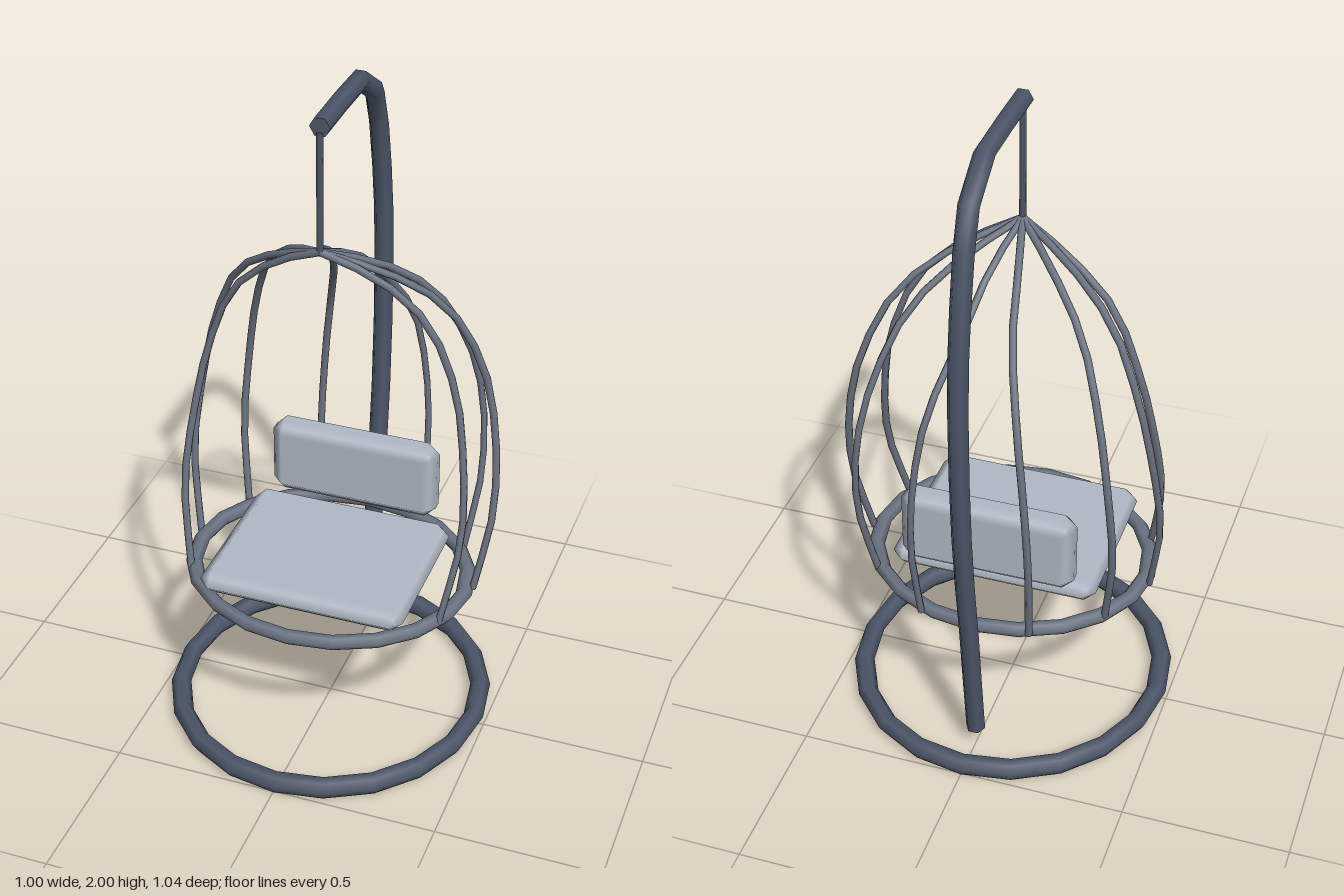
import * as THREE from 'three';

const frameMat = new THREE.MeshStandardMaterial({ color: 0x4d576a });
const wireMat = new THREE.MeshStandardMaterial({ color: 0x6c7483 });
const cushionMat = new THREE.MeshStandardMaterial({ color: 0xb0b8c4 });
const v = (x, y, z) => new THREE.Vector3(x, y, z);

// Straight-segment path whose tube rings fall exactly on the given points
class Polyline extends THREE.Curve {
  constructor(points) { super(); this.points = points; }
  getPoint(t, target = new THREE.Vector3()) {
    const s = Math.min(Math.max(t, 0), 1) * (this.points.length - 1);
    const i = Math.min(Math.floor(s), this.points.length - 2);
    return target.lerpVectors(this.points[i], this.points[i + 1], s - i);
  }
  getPointAt(u, target) { return this.getPoint(u, target); }
  getTangentAt(u, target) { return this.getTangent(u, target); }
}

function add(parent, name, geometry, material) {
  const mesh = new THREE.Mesh(geometry, material);
  mesh.name = name;
  parent.add(mesh);
  return mesh;
}

// Horizontal elliptical hoop with a six-sided section
function hoop(parent, name, rx, rz, tube, y, material) {
  const geo = new THREE.TorusGeometry(rz, tube, 6, 20).rotateX(Math.PI / 2);
  geo.scale(rx / rz, 1, 1);
  add(parent, name, geo, material).position.y = y;
}

// Box with softly shaded chamfers on every edge and corner
function chamferBox(w, h, d, r) {
  const geo = new THREE.BoxGeometry(1, 1, 1, 3, 3, 3);
  const pos = geo.attributes.position, nor = geo.attributes.normal;
  for (let i = 0; i < pos.count; i++) {
    const p = [pos.getX(i), pos.getY(i), pos.getZ(i)];
    const dir = p.map(c => (Math.abs(c) > 0.4 ? Math.sign(c) : 0));
    const sum = dir.reduce((a, c) => a + Math.abs(c), 0);
    const half = [w / 2, h / 2, d / 2];
    pos.setXYZ(i, ...p.map((c, k) => Math.sign(c) * (half[k] - r) + dir[k] * r / sum));
    const n = v(...dir).normalize();
    nor.setXYZ(i, n.x, n.y, n.z);
  }
  return geo;
}

export function createModel() {
  const model = new THREE.Group();
  model.name = 'hangingChair';

  // Stand: floor hoop and curved pole with capped ends
  hoop(model, 'baseRing', 0.467, 0.488, 0.032, 0.028, frameMat);
  const polePoints = [
    [-0.363, 0.07], [-0.387, 0.27], [-0.41, 0.48], [-0.438, 0.68], [-0.458, 0.87], [-0.469, 1.09],
    [-0.469, 1.32], [-0.458, 1.48], [-0.437, 1.62], [-0.405, 1.77], [-0.36, 1.89],
    [-0.235, 1.972], [-0.08, 1.974], [0.085, 1.97],
  ].map(([z, y]) => v(0, y, z));
  add(model, 'pole', new THREE.TubeGeometry(new Polyline(polePoints), 13, 0.03, 6), frameMat);
  add(model, 'poleTipCap', new THREE.CircleGeometry(0.03, 6), frameMat).position.set(0, 1.97, 0.085);
  const foot = add(model, 'poleFootCap', new THREE.CircleGeometry(0.03, 6), frameMat);
  foot.position.copy(polePoints[0]);
  foot.rotation.x = Math.PI / 2 - 0.12;

  // Hanging rod
  add(model, 'hangingRod', new THREE.CylinderGeometry(0.01, 0.01, 0.36, 6), frameMat)
    .position.set(0, 1.775, 0.085);

  // Basket: seat hoop and four mirrored pairs of bowed wires
  hoop(model, 'seatRing', 0.42, 0.368, 0.022, 0.485, wireMat);
  const heights = [1.52, 1.4, 1.2, 1.0, 0.75, 0.485];
  const wires = [
    { x: [0.155, 0.285, 0.37, 0.41, 0.43, 0.39], z: [0.043, 0.019, 0.008, 0.035, 0.09, 0.157] },
    { x: [0.17, 0.315, 0.41, 0.455, 0.475, 0.437], z: [0, -0.08, -0.135, -0.135, -0.09, -0.034] },
    { x: [0.135, 0.25, 0.33, 0.37, 0.385, 0.352], z: [-0.05, -0.16, -0.255, -0.295, -0.275, -0.22] },
    { x: [0.04, 0.07, 0.13, 0.16, 0.175, 0.165], z: [-0.08, -0.22, -0.363, -0.4, -0.4, -0.36] },
  ];
  const basket = new THREE.Group();
  basket.name = 'basketWires';
  model.add(basket);
  for (const [side, label] of [[1, 'left'], [-1, 'right']]) {
    wires.forEach((wire, n) => {
      const points = [v(0, 1.6, 0.085), ...heights.map((y, i) => v(side * wire.x[i], y, wire.z[i]))];
      const curve = new THREE.CatmullRomCurve3(points);
      add(basket, `${label}Wire${n + 1}`, new THREE.TubeGeometry(curve, 12, 0.011, 6), wireMat);
    });
  }

  // Cushions
  add(model, 'seatCushion', chamferBox(0.63, 0.078, 0.522, 0.037), cushionMat).position.set(0, 0.541, 0.039);
  add(model, 'backCushion', chamferBox(0.525, 0.248, 0.1, 0.036), cushionMat).position.set(0, 0.705, -0.226);

  return model;
}
